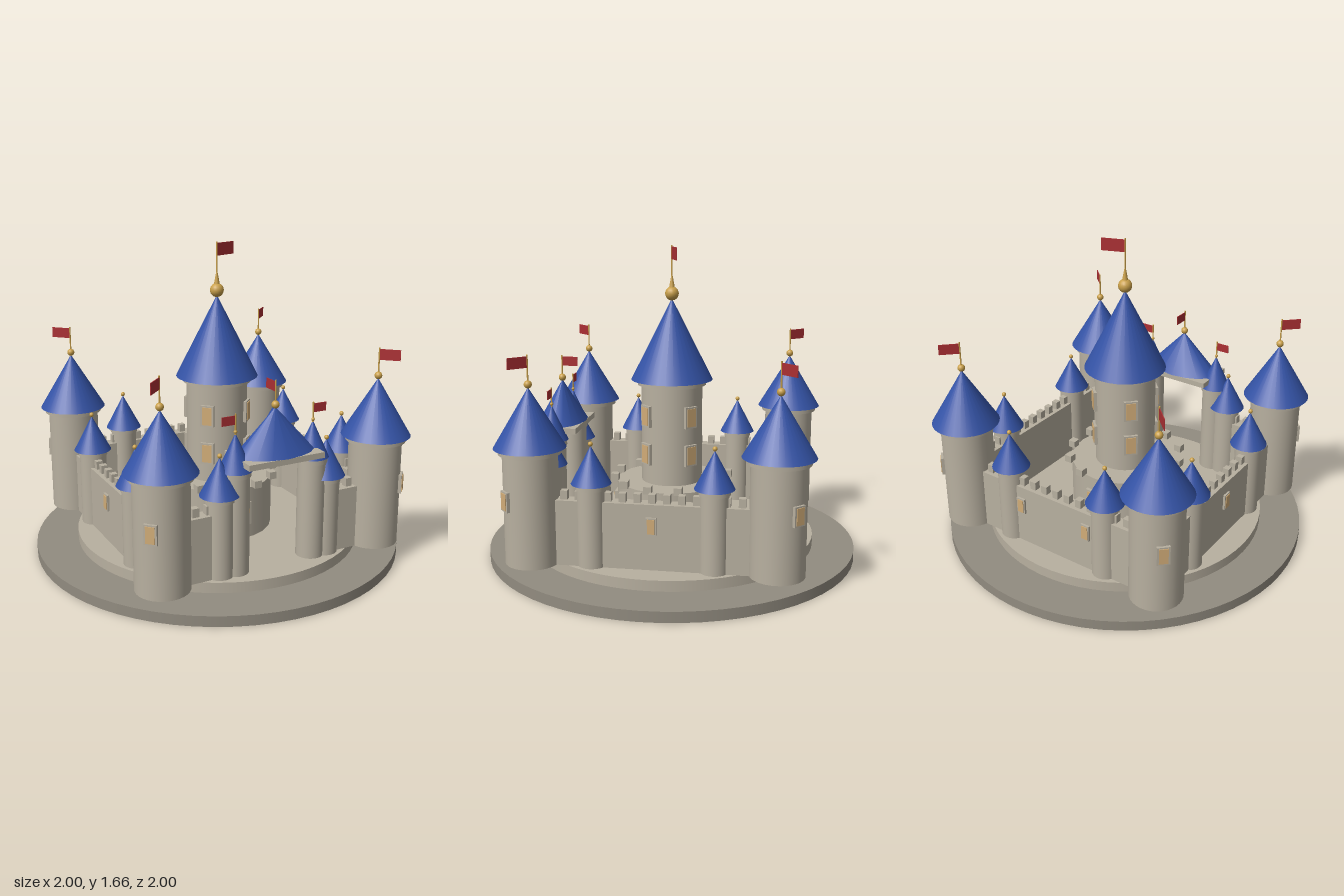
import * as THREE from 'three';

const mat = (name, color, side = THREE.FrontSide) => {
  const m = new THREE.MeshStandardMaterial({ color, side });
  m.name = name;
  return m;
};

export function createModel() {
  const stone = mat('stone', 0xb8b0a0);
  const darkStone = mat('darkStone', 0x928c80);
  const roofBlue = mat('roofBlue', 0x3453a6);
  const gold = mat('gold', 0xc9a04a);
  const red = mat('flagRed', 0xab2f33, THREE.DoubleSide);
  const glow = mat('windowGlow', 0xd2ad78);

  const castle = new THREE.Group();
  castle.name = 'castle';

  const add = (parent, name, geo, material, x = 0, y = 0, z = 0) => {
    const m = new THREE.Mesh(geo, material);
    m.name = name;
    m.position.set(x, y, z);
    parent.add(m);
    return m;
  };
  const group = (name, x = 0, y = 0, z = 0, parent = castle) => {
    const g = new THREE.Group();
    g.name = name;
    g.position.set(x, y, z);
    parent.add(g);
    return g;
  };
  // Upright cylinder between two heights
  const drum = (parent, name, rTop, rBottom, y0, y1, material, sides = 32) =>
    add(parent, name, new THREE.CylinderGeometry(rTop, rBottom, y1 - y0, sides), material, 0, (y0 + y1) / 2, 0);
  const box = (parent, name, w, h, d, material, x, y, z) =>
    add(parent, name, new THREE.BoxGeometry(w, h, d), material, x, y, z);

  // Framed window at a distance from the parent's axis; angle 0 faces +z
  const windowAt = (parent, angle, dist, y, w, h) => {
    const g = group('window', Math.sin(angle) * dist, y, Math.cos(angle) * dist, parent);
    g.rotation.y = angle;
    box(g, 'windowFrame', w, h, 0.024, stone, 0, 0, 0);
    box(g, 'windowPane', w * 0.7, h * 0.84, 0.006, glow, 0, 0, 0.013);
  };

  // Pole with a thin flag; angle 0 points to +x, positive turns towards -z
  const flagAt = (parent, y0, y1, w, h, angle) => {
    drum(parent, 'flagPole', 0.004, 0.004, y0, y1, gold, 8);
    const g = group('flag', 0, y1 - h / 2 - 0.008, 0, parent);
    g.rotation.y = angle;
    box(g, 'flagCloth', w, h, 0.004, red, w / 2, 0, 0);
  };

  // Round tower: shaft, collar, conical roof and finial ball
  const tower = (name, x, z, o) => {
    const g = group(name, x, 0, z);
    drum(g, 'shaft', o.r, o.r, o.y0 ?? 0.11, o.eave - 0.01, stone);
    drum(g, 'collar', o.collar, o.collar, o.eave - 0.027, o.eave - 0.002, stone);
    drum(g, 'roof', 0, o.roof, o.eave, o.apex, roofBlue);
    add(g, 'finialBall', new THREE.SphereGeometry(o.ball, 16, 12), gold, 0, o.apex + o.ball * 0.7, 0);
    return g;
  };

  // Stepped round ground
  drum(castle, 'base', 1, 1, 0, 0.055, darkStone, 64);
  drum(castle, 'courtyard', 0.775, 0.775, 0.055, 0.11, stone, 64);

  const C = 0.612;
  // Curtain walls: back, right, left whole; front split by the gate
  const wallTop = 0.445, wallH = wallTop - 0.11, thick = 0.075, step = 0.0735;
  const wall = (name, angle, gate) => {
    const g = group(name);
    g.rotation.y = angle;
    const y = 0.11 + wallH / 2;
    if (gate) {
      for (const s of [-1, 1]) box(g, 'wallSegment', C - 0.22, wallH, thick, stone, s * (C + 0.22) / 2, y, C);
    } else {
      box(g, 'wallSegment', 2 * C, wallH, thick, stone, 0, y, C);
    }
    for (let i = -6; i <= 6; i++) {
      if (gate && Math.abs(i) < 4) continue;
      box(g, 'merlon', 0.035, 0.045, 0.035, stone, i * step, wallTop + 0.0225, C);
    }
    return g;
  };
  const frame = (g, x) => {
    const holder = group('wallWindow', x, 0, 0, g);
    windowAt(holder, 0, C + thick / 2, 0.337, 0.052, 0.088);
  };
  wall('frontWall', 0, true);
  frame(wall('leftWall', Math.PI / 2), 0);
  frame(wall('rightWall', -Math.PI / 2), 0);
  const back = wall('backWall', Math.PI);
  for (const s of [-1, 1]) frame(back, s * 0.21);

  for (const sx of [-1, 1]) {
    for (const sz of [-1, 1]) {
      // Corner towers with outward windows and flags
      const t = tower('cornerTower', sx * C, sz * C,
        { r: 0.138, collar: 0.157, roof: 0.18, eave: 0.7, apex: 1.0, ball: 0.02 });
      windowAt(t, Math.atan2(sx, sz), 0.138, 0.447, 0.066, 0.1);
      flagAt(t, 1.0, 1.16, 0.108, 0.056, Math.atan2(-sz, sx));

      // Slim turrets along the walls
      const slim = { r: 0.072, collar: 0.078, roof: 0.1, eave: 0.53, apex: 0.72, ball: 0.012 };
      tower('wallTurret', sx * 0.305, sz * C, slim);
      tower('wallTurret', sx * C, sz * 0.305, slim);
    }
    // Gate turrets
    const g = tower('gateTurret', sx * 0.22, C,
      { r: 0.072, collar: 0.078, roof: 0.085, eave: 0.643, apex: 0.83, ball: 0.009 });
    flagAt(g, 0.82, 0.925, 0.075, 0.045, sx > 0 ? 0 : Math.PI);
  }

  // Gate canopy: slab and oval roof above the open passage
  const gate = group('gateCanopy', 0, 0, C);
  box(gate, 'lintel', 0.425, 0.03, 0.25, stone, 0, 0.688, 0);
  drum(gate, 'gateRoof', 0, 1, 0.702, 0.93, roofBlue, 16).scale.set(0.215, 1, 0.13);
  add(gate, 'finialBall', new THREE.SphereGeometry(0.02, 16, 12), gold, 0, 0.942, 0);
  flagAt(gate, 0.93, 1.065, 0.087, 0.05, Math.PI / 2);

  // Keep: round plinth with battlements, then the tall tower
  const plinth = group('keepPlinth');
  drum(plinth, 'plinthDrum', 0.3, 0.3, 0.11, 0.395, stone, 24);
  for (let i = 0; i < 12; i++) {
    const a = (i + 0.5) * Math.PI / 6;
    box(plinth, 'merlon', 0.042, 0.04, 0.042, stone, Math.sin(a) * 0.312, 0.412, Math.cos(a) * 0.312);
  }
  for (let i = 0; i < 4; i++) windowAt(plinth, i * Math.PI / 2, 0.302, 0.255, 0.09, 0.125);

  const keep = tower('keepTower', 0, 0,
    { y0: 0.39, r: 0.165, collar: 0.185, roof: 0.22, eave: 0.95, apex: 1.385, ball: 0.037 });
  for (let i = 0; i < 4; i++) {
    for (const y of [0.557, 0.765]) windowAt(keep, (i + 0.5) * Math.PI / 2, 0.165, y, 0.075, 0.115);
  }
  drum(keep, 'spike', 0.003, 0.018, 1.43, 1.51, gold, 12);
  flagAt(keep, 1.43, 1.665, 0.127, 0.066, 0.34);

  return castle;
}
